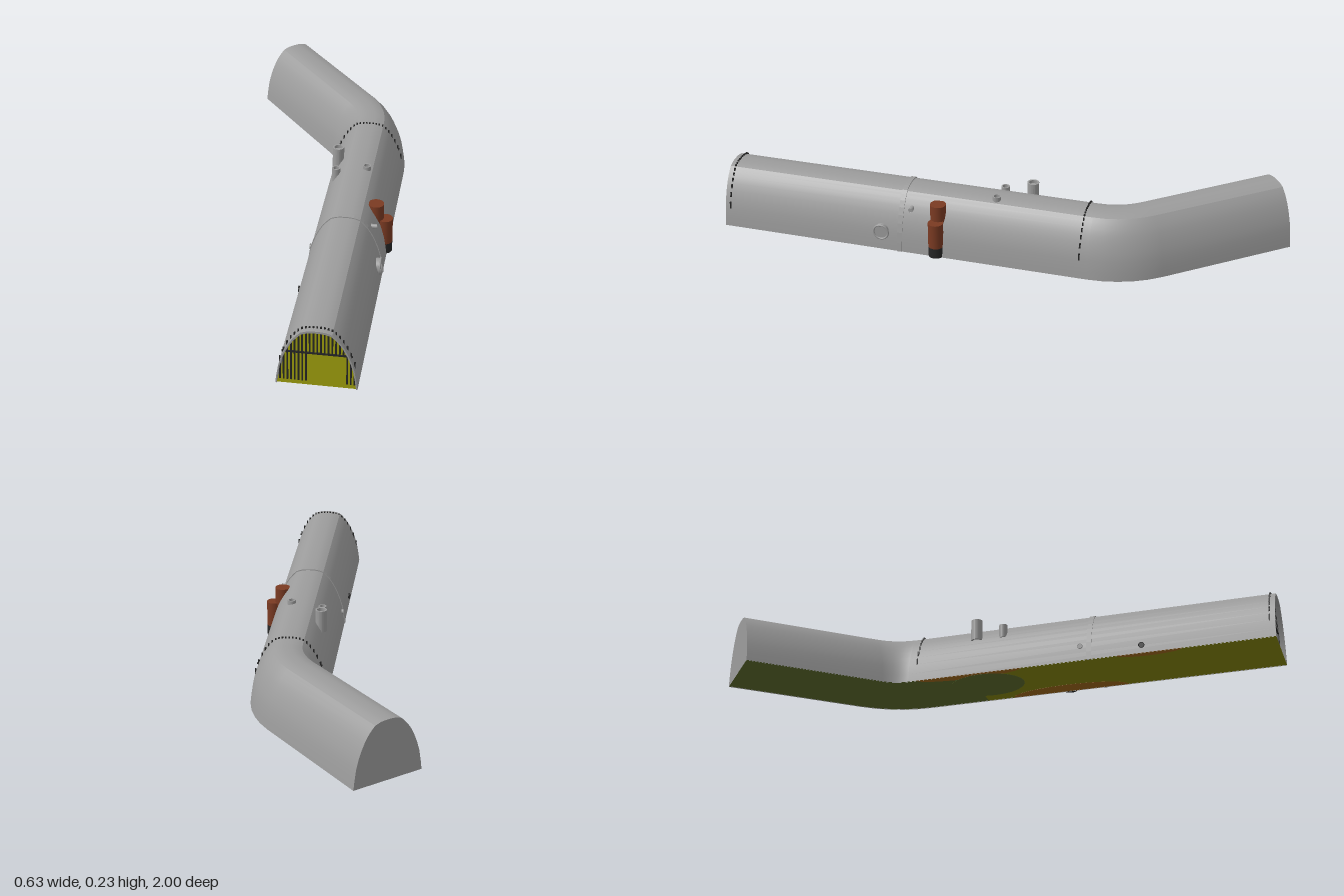
import * as THREE from 'three';

const mat = (name, color, side = THREE.FrontSide) => {
  const m = new THREE.MeshStandardMaterial({ color, side });
  m.name = name;
  return m;
};

const CX = 0.167, BEND = 0.682, R = 0.27, Z_BEND = -0.35, TAIL = 0.51;

// Centre line stations: straight run, arc, straight tail
function stations(from, to) {
  const list = [];
  if (from > Z_BEND) list.push({ x: CX, z: from, a: 0 });
  if (to >= Z_BEND) { list.push({ x: CX, z: to, a: 0 }); return list; }
  for (let i = 0; i <= 5; i++) {
    const a = BEND * i / 5;
    list.push({ x: CX - R + R * Math.cos(a), z: Z_BEND - R * Math.sin(a), a });
  }
  const e = list[list.length - 1];
  list.push({ x: e.x - TAIL * Math.sin(BEND), z: e.z - TAIL * Math.cos(BEND), a: BEND });
  return list;
}

// Sweep an open profile of [u, y] points along the stations
function loft(profile, path) {
  const pos = [], idx = [], n = profile.length;
  for (const s of path) for (const [u, y] of profile)
    pos.push(s.x + u * Math.cos(s.a), y, s.z - u * Math.sin(s.a));
  for (let i = 0; i < path.length - 1; i++) for (let j = 0; j < n - 1; j++) {
    const a = i * n + j, b = a + 1, c = a + n, d = c + 1;
    idx.push(a, b, c, b, d, c);
  }
  const g = new THREE.BufferGeometry();
  g.setAttribute('position', new THREE.Float32BufferAttribute(pos, 3));
  g.setIndex(idx);
  g.computeVertexNormals();
  return g;
}

const curve = (pts) => new THREE.SplineCurve(pts.map(p => new THREE.Vector2(...p))).getPoints(8).map(p => [p.x, p.y]);
const mirror = (pts) => pts.map(([u, y]) => [-u, y]).reverse();
const scaled = (pts, k) => pts.map(([u, y]) => [u * k, y * k]);

export function createModel() {
  const group = new THREE.Group();
  const concrete = mat('concrete', 0x9c9c9c, THREE.DoubleSide);
  const iron = mat('dark iron', 0x262626);
  const rust = mat('rust', 0x7a3a22);
  const sludge = mat('yellow sludge', 0x808008);
  const algae = mat('green sludge', 0x59682a);
  const muck = mat('brown muck', 0x9a6418);
  const add = (name, geo, m, x = 0, y = 0, z = 0) => {
    const o = new THREE.Mesh(geo, m);
    o.name = name;
    o.position.set(x, y, z);
    group.add(o);
    return o;
  };

  // Arch profile: two haunches and a crown with creases between
  const left = curve([[-0.131, 0], [-0.121, 0.07], [-0.101, 0.13], [-0.076, 0.175], [-0.05, 0.203]]);
  const crown = curve([[-0.05, 0.203], [-0.028, 0.21], [0, 0.212], [0.028, 0.21], [0.05, 0.203]]);
  const right = mirror(left);
  const arch = [...left, ...crown.slice(1), ...right.slice(1)];
  const path = stations(1, -1);
  const end = path[path.length - 1];
  const K = 0.965;
  [['leftWall', left], ['crown', crown], ['rightWall', right]].forEach(([name, p]) => {
    add(name, loft(p, path), concrete);
    add(name + 'Lining', loft(scaled(p, K).reverse(), path), concrete);
  });
  const outline = (pts) => new THREE.Shape(pts.map(p => new THREE.Vector2(...p)));
  const band = (k1, k2) => outline([...scaled(arch, k1), ...scaled(arch, k2).reverse()]);

  // Front rim and closed back end
  add('frontRim', new THREE.ShapeGeometry(band(1, K)), concrete, CX, 0, 1);
  add('backWall', new THREE.ShapeGeometry(outline(arch)), concrete, end.x, 0, end.z).rotation.y = BEND;

  // Joint band around the tunnel
  add('jointBand', new THREE.ExtrudeGeometry(band(1.018, 0.99), { depth: 0.018, bevelEnabled: false }), concrete, CX, 0, 0.323);

  // Floor, seen from above and below
  const floor = (name, from, to, m) => {
    const p = stations(from, to);
    add(name, loft([[-0.13, 0.004], [0.13, 0.004]], p), m);
    add(name + 'Underside', loft([[0.13, 0.001], [-0.13, 0.001]], p), m);
  };
  floor('frontFloor', 1, -0.12, sludge);
  floor('backFloor', -0.12, -1, algae);

  // Spills on the floor, clipped to the tunnel width
  const spill = (name, x, z, rx, rz, m, top) => {
    const pts = [];
    for (let i = 0; i < 24; i++) {
      const t = i / 24 * Math.PI * 2;
      pts.push([THREE.MathUtils.clamp(x + rx * Math.cos(t), 0.038, 0.296), -(z + rz * Math.sin(t))]);
    }
    const g = new THREE.ExtrudeGeometry(outline(pts), { depth: top, bevelEnabled: false });
    add(name, g, m, 0, 0.0025 - top / 2, 0).rotation.x = -Math.PI / 2;
  };
  spill('rustSpill', 0.295, 0.2, 0.06, 0.22, muck, 0.004);
  spill('drainSpill', 0.037, 0.55, 0.03, 0.12, muck, 0.004);
  spill('edgeSpill', 0.037, -0.12, 0.04, 0.2, muck, 0.004);
  spill('algaePool', 0.15, -0.08, 0.1, 0.14, algae, 0.0046);

  // Grates: bars break through the wall by a little
  const heightAt = (u) => {
    u = Math.abs(u);
    for (let i = 1; i < arch.length; i++) {
      const [u0, y0] = arch[i - 1], [u1, y1] = arch[i];
      if (-u >= u0 && -u <= u1) return y0 + (y1 - y0) * (-u - u0) / (u1 - u0);
    }
    return 0;
  };
  const grate = (name, z, doorway) => {
    for (let i = -10; i <= 10; i++) {
      const u = i * 0.0119;
      const top = heightAt(Math.max(0, Math.abs(u) - 0.003)) + 0.005;
      const bottom = doorway && u > -0.025 && u < 0.09 ? 0.113 : 0.003;
      if (top <= bottom) continue;
      add(name + 'Bar', new THREE.BoxGeometry(0.005, top - bottom, 0.005), iron, CX + u, (top + bottom) / 2, z);
    }
    add(name + 'Rail', new THREE.BoxGeometry(0.226, 0.005, 0.005), iron, CX, 0.113, z);
  };
  grate('frontGrate', 0.98, true);
  grate('innerGrate', -0.32, true);

  // Rusty downpipes standing against the right wall
  const cyl = (r, h, open = false) => new THREE.CylinderGeometry(r, r, h, 24, 1, open);
  add('tallRustPipe', cyl(0.028, 0.187), rust, 0.255, 0.0965, 0.198);
  add('shortRustPipe', cyl(0.027, 0.093), rust, 0.288, 0.0865, 0.198);
  add('rustPipeFoot', cyl(0.027, 0.038), iron, 0.288, 0.021, 0.198);

  // Vent pipes through the roof, each with a recessed mouth
  const vent = (x, z, r, bottom, top) => {
    const h = top - bottom;
    const p = [[r * 0.7, 0], [r, 0], [r, h], [r * 0.7, h], [r * 0.7, h - 0.012], [0, h - 0.012]];
    const g = new THREE.LatheGeometry(p.map(q => new THREE.Vector2(...q)), 24).toNonIndexed();
    g.computeVertexNormals();
    add('roofVent', g, concrete, x, bottom, z);
  };
  vent(0.08, -0.1, 0.021, 0.15, 0.23);
  vent(0.086, 0, 0.015, 0.15, 0.202);
  vent(0.197, 0, 0.015, 0.19, 0.222);

  // Side outlets, lying along x
  const sidePipe = (name, x, y, z, r, len, m) => {
    add(name, cyl(r, len), m, x, y, z).rotation.z = Math.PI / 2;
    add(name + 'Collar', new THREE.TorusGeometry(r, r * 0.13, 8, 24), m,
      x + Math.sign(x - CX) * len / 2, y, z).rotation.y = Math.PI / 2;
  };
  sidePipe('rightOutlet', 0.282, 0.068, 0.4, 0.027, 0.03, concrete);
  sidePipe('rightSpout', 0.255, 0.158, 0.295, 0.008, 0.03, concrete);
  sidePipe('leftSpout', 0.056, 0.057, 0.3, 0.009, 0.036, concrete);
  sidePipe('leftDrain', 0.052, 0.03, 0.525, 0.01, 0.036, iron);

  return group;
}
